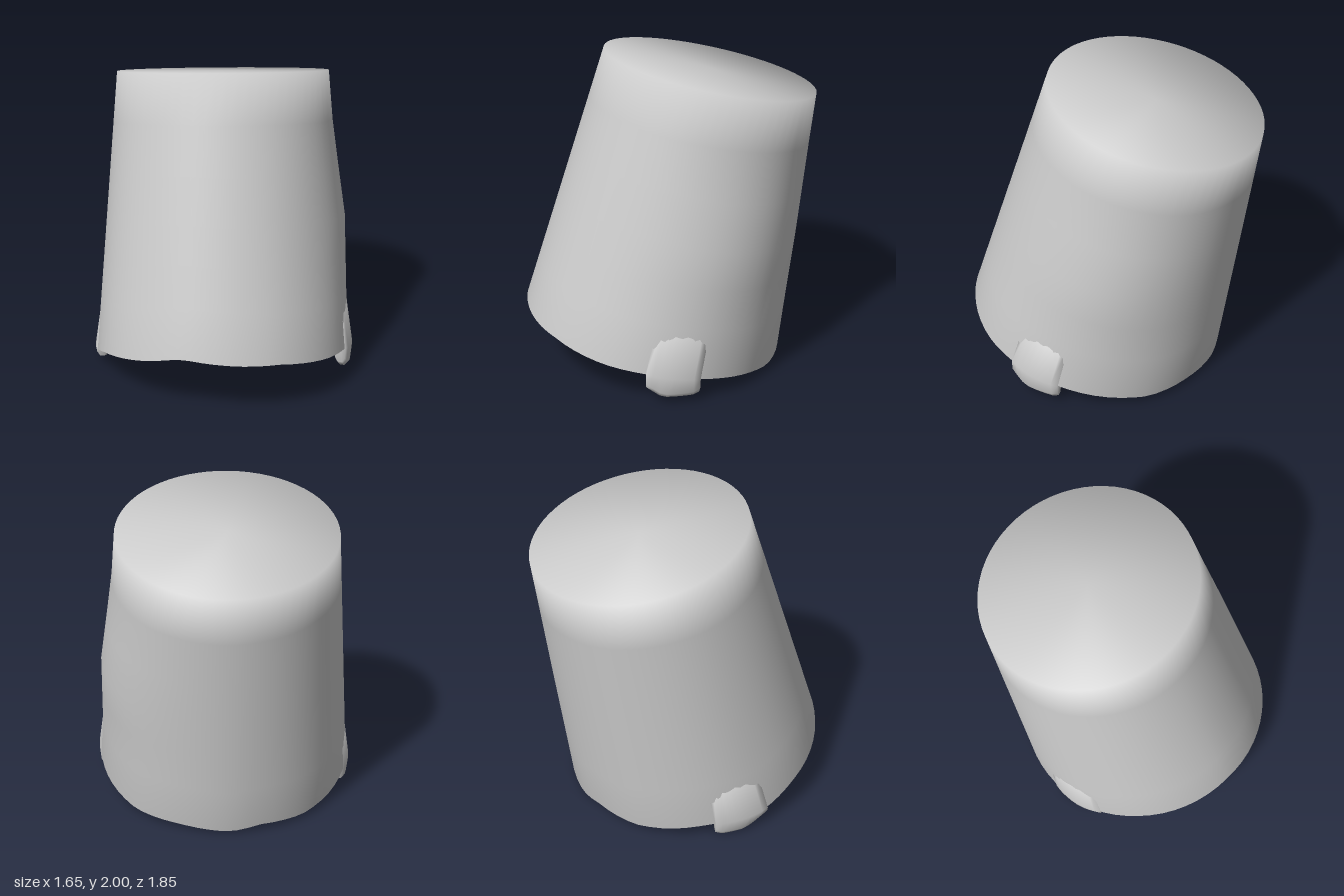
import * as THREE from 'three';
import { mergeVertices } from 'three/addons/utils/BufferGeometryUtils.js';

const SIDES = 64;
const WALL = 0.02;

// Piecewise linear lookup in a list of [position, value] pairs
function sample(table, x) {
  let i = 1;
  while (i < table.length - 1 && table[i][0] < x) i++;
  const [a, va] = table[i - 1], [b, vb] = table[i];
  return THREE.MathUtils.lerp(va, vb, THREE.MathUtils.clamp((x - a) / (b - a), 0, 1));
}

// Height of the uneven open rim by angle (0 = front, positive towards +x)
const RIM = [
  [-Math.PI, 0.045], [-2.77, 0.03], [-2.48, 0.06], [-2.2, 0.1], [-1.7, 0.12], [-1.4, 0.21],
  [-0.92, 0.3], [-0.55, 0.38], [0, 0.34], [0.18, 0.33], [0.37, 0.3], [0.66, 0.255], [0.95, 0.22],
  [1.4, 0.15], [1.7, 0.1], [2.1, 0.04], [2.51, 0.04], [2.9, 0.012], [Math.PI, 0.045],
];

// Point on the leaning wall: t = 0 at the rim, 1 at the closed end
function wallPoint(angle, t, inset = 0) {
  const s = Math.sin(angle), c = Math.cos(angle);
  const low = new THREE.Vector3((0.82 - inset) * s, sample(RIM, angle), 0.11 + (0.82 - inset) * c);
  const x = (0.675 - inset) * s, z = (0.655 - inset) * c;
  const high = new THREE.Vector3(0.085 + x, 1.855 - 0.045 * x + 0.215 * z - inset, -0.26 + z);
  const p = low.lerp(high, t);
  // Slight swelling halfway up the +x side
  p.x += 0.04 * Math.max(0, 1 - Math.abs(t - 0.47) / 0.33) * Math.max(0, s) ** 4;
  return p;
}

// Skin a grid of points; closed wraps every row around
function skin(rows, closed) {
  const n = rows[0].length, pos = [], index = [];
  rows.forEach(row => row.forEach(p => pos.push(p.x, p.y, p.z)));
  for (let i = 0; i < rows.length - 1; i++) {
    for (let j = 0; j < (closed ? n : n - 1); j++) {
      const k = (j + 1) % n;
      const a = i * n + j, b = i * n + k, c = a + n, d = b + n;
      index.push(a, b, d, a, d, c);
    }
  }
  let g = new THREE.BufferGeometry();
  g.setAttribute('position', new THREE.Float32BufferAttribute(pos, 3));
  g.setIndex(index);
  g = mergeVertices(g, 1e-5);
  g.computeVertexNormals();
  return g;
}

// Shell: inside from its end down to the rim, then outside back up and over the end
function shellGeometry() {
  const angles = Array.from({ length: SIDES }, (_, j) => -Math.PI + (j / SIDES) * 2 * Math.PI);
  const levels = [0, 0.18, 0.33, 0.47, 0.64, 0.82, 1];
  const ring = (t, inset) => angles.map(a => wallPoint(a, t, inset));
  const centre = y => angles.map(() => new THREE.Vector3(0.085, y, -0.26));
  return skin([
    centre(1.855 - WALL),
    ...[...levels].reverse().map(t => ring(t, WALL)),
    ...levels.map(t => ring(t, 0)),
    centre(1.855),
  ], true);
}

// Tab: thickened strip of wall that hangs below the rim
function tabGeometry(from, to, bottom) {
  const steps = 8, columns = [];
  for (let j = 0; j <= steps; j++) {
    const u = j / steps, angle = THREE.MathUtils.lerp(from, to, u);
    const low = sample(bottom, u), rim = sample(RIM, angle);
    const out = 0.012 + 0.012 * Math.sin(Math.PI * u);
    const at = (r, y) => new THREE.Vector3(r * Math.sin(angle), y, 0.11 + r * Math.cos(angle));
    const root = wallPoint(angle, 0.2, 0.008);
    columns.push([root, at(0.762, rim + 0.06), at(0.758, low + 0.03), at(0.775, low),
      at(0.805, low), at(0.815 + out * 0.6, low + 0.03), at(0.815 + out, rim), root.clone()]);
  }
  // Collapse both ends to a line so the sides are closed
  const cap = col => {
    const mid = col.reduce((s, p) => s.add(p), new THREE.Vector3()).divideScalar(col.length);
    return col.map(() => mid.clone());
  };
  const all = [cap(columns[0]), ...columns, cap(columns[steps])];
  // Rows run along the profile, from the inner face around to the outer face
  const rows = columns[0].map((_, i) => all.map(col => col[i]));
  return skin(rows, false);
}

export function createModel() {
  const model = new THREE.Group();
  model.name = 'leaningCup';
  const material = new THREE.MeshStandardMaterial({ color: 0xcccccc, side: THREE.DoubleSide });
  const add = (name, geometry) => {
    const mesh = new THREE.Mesh(geometry, material);
    mesh.name = name;
    model.add(mesh);
  };
  add('cupShell', shellGeometry());
  add('leftTab', tabGeometry(0.97, 1.38, [[0, 0.12], [0.3, 0.05], [0.95, 0.045], [1, 0.06]]));
  add('rightTab', tabGeometry(-2.13, -1.69, [[0, 0.02], [0.05, 0], [0.55, 0], [1, 0.07]]));
  return model;
}
